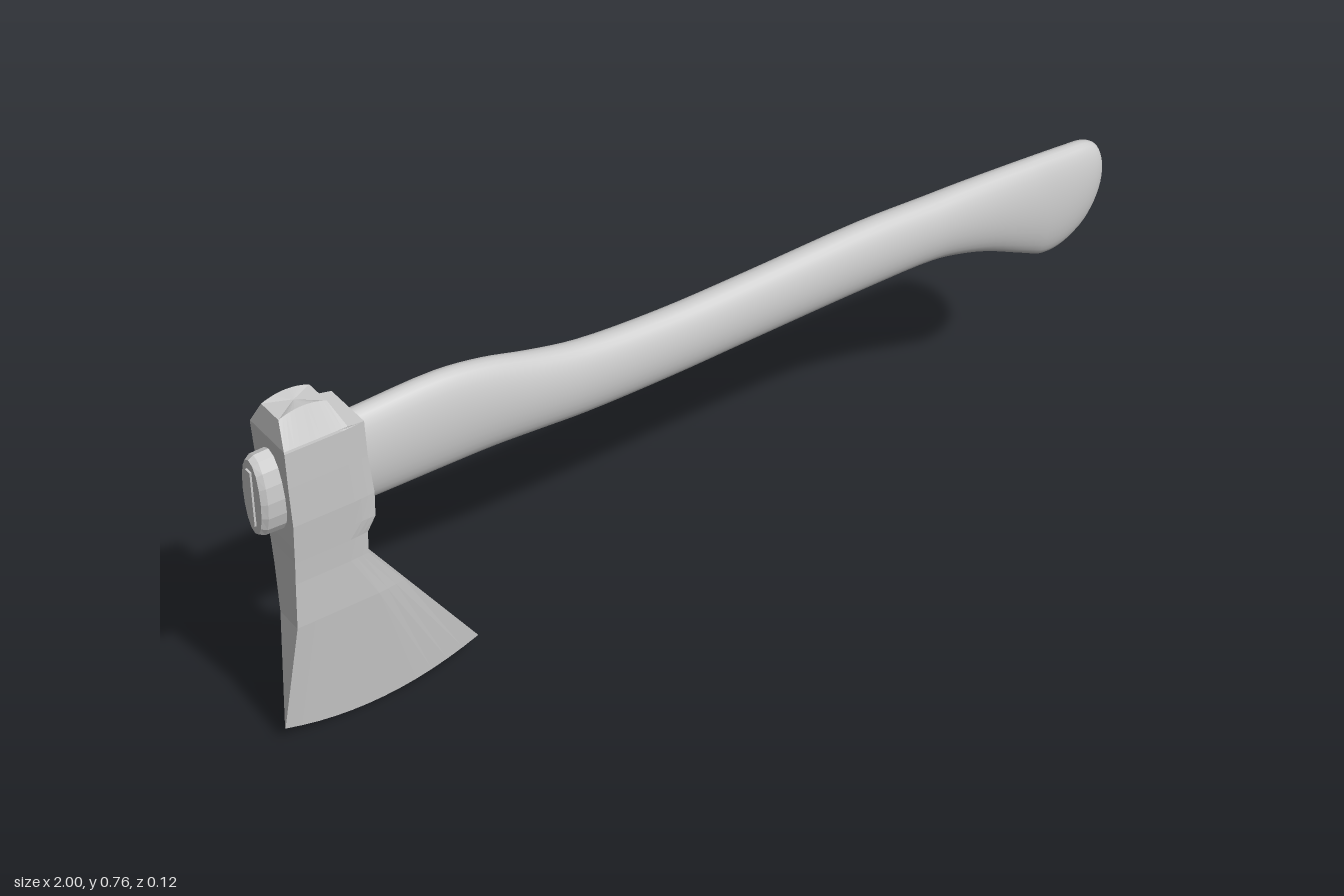
import * as THREE from 'three';

// Skin a list of closed rings (equal point counts) and cap both ends.
function loft(rings) {
  const n = rings[0].length, pos = [], idx = [];
  rings.forEach(r => r.forEach(p => pos.push(p.x, p.y, p.z)));
  for (let i = 0; i < rings.length - 1; i++) {
    for (let k = 0; k < n; k++) {
      const a = i * n + k, b = i * n + (k + 1) % n;
      idx.push(a, a + n, b, b, a + n, b + n);
    }
  }
  [rings[0], rings[rings.length - 1]].forEach((ring, end) => {
    const base = pos.length / 3;
    const c = ring.reduce((s, p) => s.add(p), new THREE.Vector3()).divideScalar(n);
    [...ring, c].forEach(p => pos.push(p.x, p.y, p.z));
    for (let k = 0; k < n; k++) {
      const a = base + k, b = base + (k + 1) % n;
      if (end) idx.push(base + n, b, a);
      else idx.push(base + n, a, b);
    }
  });
  const g = new THREE.BufferGeometry();
  g.setAttribute('position', new THREE.Float32BufferAttribute(pos, 3));
  g.setIndex(idx);
  g.computeVertexNormals();
  return g;
}

// Oval section across the handle at x
function oval(x, top, bottom, halfZ, sides) {
  return Array.from({ length: sides }, (_, k) => {
    const a = (k / sides) * Math.PI * 2;
    const c = Math.cos(a), s = Math.sin(a);
    const z = -halfZ * Math.sign(s) * Math.pow(Math.abs(s), 0.9);
    return new THREE.Vector3(x, (top + bottom) / 2 + c * (top - bottom) / 2, z);
  });
}

// Section through the head: left and right ends, sag between them, thickness at each
function slab([xl, yl, xr, yr, sag, t, tR]) {
  const cols = 12, front = [];
  const L = THREE.MathUtils.lerp;
  for (let i = 0; i <= cols; i++) {
    const u = i / cols;
    // the cheek stays flat and only narrows close to the handle side
    const z = L(t, tR, Math.max(0, (u - 0.75) / 0.25));
    front.push(new THREE.Vector3(L(xl, xr, u), L(yl, yr, u) - sag * 4 * u * (1 - u), z));
  }
  const back = front.map(p => new THREE.Vector3(p.x, p.y, -p.z)).reverse();
  return [...front, ...back];
}

export function createModel() {
  const group = new THREE.Group();
  const smooth = new THREE.MeshStandardMaterial({ color: 0xcccccc });
  const flat = new THREE.MeshStandardMaterial({ color: 0xcccccc, flatShading: true });
  const add = (name, geometry, material) => {
    const mesh = new THREE.Mesh(geometry, material);
    mesh.name = name;
    group.add(mesh);
    return mesh;
  };

  // Head: poll, shelf, eye with collar, neck, flaring blade
  add('axeHead', loft([
    [-0.945, 0.754, -0.847, 0.754, -0.010, 0.030, 0.030],
    [-0.955, 0.705, -0.825, 0.705, 0, 0.059, 0.059],
    [-0.955, 0.700, -0.790, 0.700, 0, 0.060, 0.056],
    [-0.952, 0.620, -0.786, 0.620, 0, 0.057, 0.053],
    [-0.947, 0.530, -0.776, 0.530, 0, 0.053, 0.050],
    [-0.946, 0.475, -0.776, 0.475, 0, 0.047, 0.047],
    [-0.945, 0.440, -0.790, 0.440, 0, 0.043, 0.040],
    [-0.945, 0.388, -0.790, 0.388, 0, 0.038, 0.036],
    [-0.946, 0.280, -0.713, 0.280, 0, 0.031, 0.026],
    [-0.975, 0.030, -0.545, 0.045, 0.0375, 0.001, 0.001],
  ].map(slab)), flat);

  // Handle stations: x, top, bottom, half width
  const stations = [
    [-0.90, 0.685, 0.490, 0.040], [-0.78, 0.689, 0.486, 0.041],
    [-0.60, 0.695, 0.486, 0.042], [-0.50, 0.681, 0.486, 0.043],
    [-0.40, 0.655, 0.481, 0.043], [-0.29, 0.633, 0.475, 0.043],
    [-0.10, 0.623, 0.475, 0.043], [0.10, 0.627, 0.481, 0.043],
    [0.38, 0.637, 0.488, 0.043], [0.55, 0.633, 0.487, 0.043],
    [0.62, 0.632, 0.474, 0.043], [0.70, 0.630, 0.449, 0.043],
    [0.80, 0.627, 0.405, 0.043], [0.85, 0.625, 0.385, 0.042],
    [0.90, 0.622, 0.391, 0.041], [0.95, 0.618, 0.421, 0.037],
    [0.98, 0.604, 0.462, 0.029], [0.994, 0.582, 0.498, 0.019],
    [1.00, 0.558, 0.527, 0.007],
  ];
  const edge = new THREE.CatmullRomCurve3(stations.map(s => new THREE.Vector3(s[0], s[1], s[2])));
  const width = new THREE.CatmullRomCurve3(stations.map(s => new THREE.Vector3(s[0], s[3], 0)));
  // sample both curves at the same stations so widths stay matched
  const steps = (stations.length - 1) * 4, rings = [];
  for (let i = 0; i <= steps; i++) {
    const p = edge.getPoint(i / steps);
    rings.push(oval(p.x, p.y, p.z, width.getPoint(i / steps).y, 32));
  }
  add('handle', loft(rings), smooth);

  // End of the handle showing behind the eye, with its wedge
  add('handleStub', loft([
    oval(-0.996, 0.670, 0.506, 0.032, 16),
    oval(-0.985, 0.677, 0.501, 0.039, 16),
    oval(-0.900, 0.680, 0.498, 0.040, 16),
  ]), flat);
  const wedge = add('wedge', new THREE.BoxGeometry(0.03, 0.12, 0.016), flat);
  wedge.position.set(-0.985, 0.588, 0);

  return group;
}
